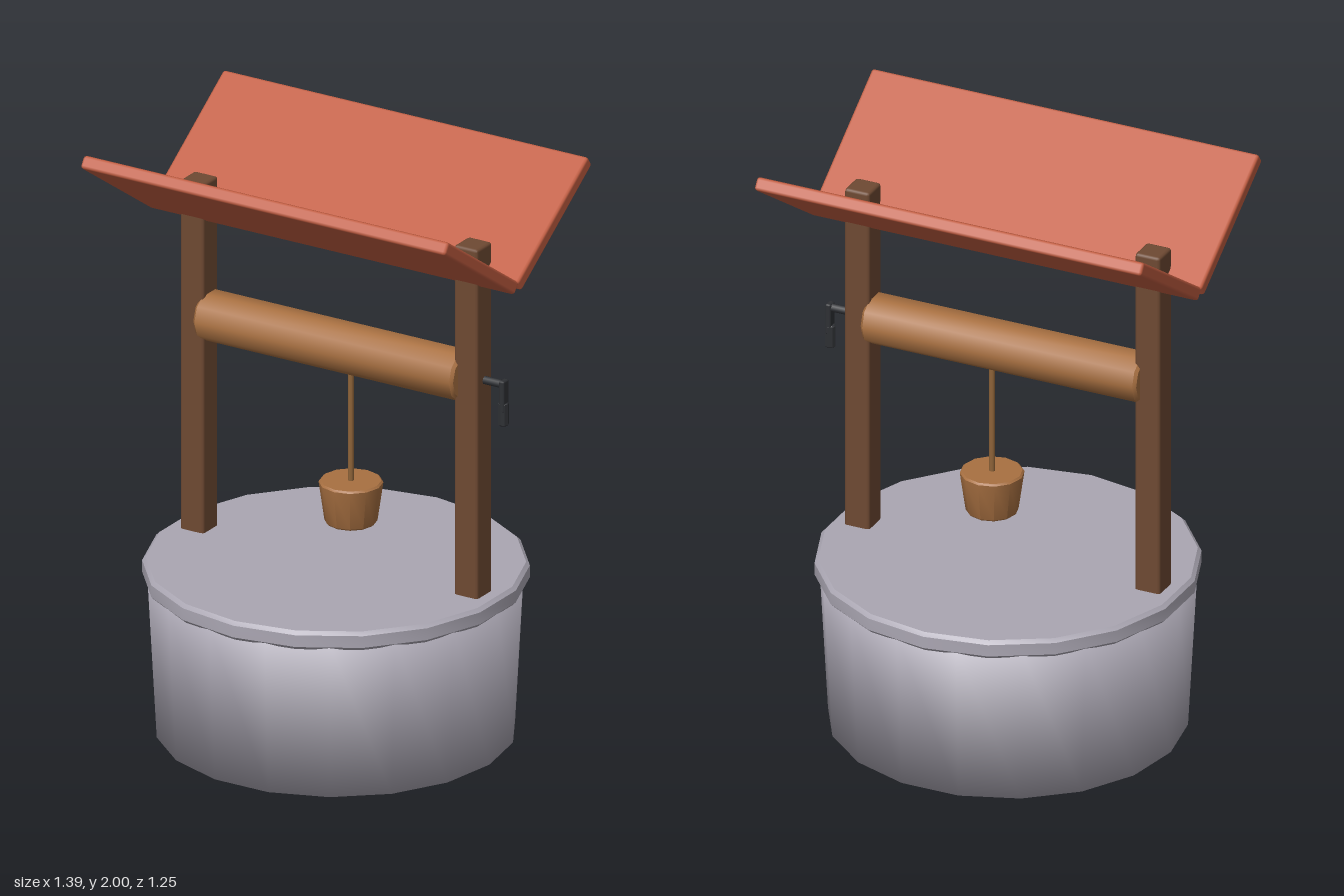
import * as THREE from 'three';
import { toCreasedNormals } from 'three/addons/utils/BufferGeometryUtils.js';
import { RoundedBoxGeometry } from 'three/addons/geometries/RoundedBoxGeometry.js';

const paint = (name, color) => {
  const m = new THREE.MeshStandardMaterial({ color });
  m.name = name;
  return m;
};

export function createModel() {
  const stone = paint('stone', 0xaaa6b2);
  const roofRed = paint('roof red', 0xc05c40);
  const darkWood = paint('dark wood', 0x6e4932);
  const lightWood = paint('light wood', 0xa87041);
  const ropeTan = paint('rope tan', 0x8f6439);
  const metal = paint('dark metal', 0x2e3034);

  const well = new THREE.Group();
  well.name = 'well';

  const add = (name, geometry, material, x = 0, y = 0, z = 0, parent = well) => {
    const mesh = new THREE.Mesh(geometry, material);
    mesh.name = name;
    mesh.position.set(x, y, z);
    parent.add(mesh);
    return mesh;
  };
  const box = (w, h, d, r) => new RoundedBoxGeometry(w, h, d, 1, r);
  const lathe = (points, sides) =>
    new THREE.LatheGeometry(points.map(([x, y]) => new THREE.Vector2(x, y)), sides);
  // Solid turned part with small chamfers, smooth around and crisp at the rims
  const turned = (r0, r1, h, sides, b) => toCreasedNormals(lathe([
    [0, 0], [r0 - b, 0], [r0, b], [r1, h - b], [r1 - b, h], [0, h],
  ], sides), 0.7);

  // Stone base, softly shaded over its edges, and its cap
  const base = lathe([[0, 0], [0.585, 0], [0.615, 0.55], [0, 0.55]], 18);
  base.rotateY(Math.PI / 2);
  add('stoneBase', base, stone);
  add('stoneRim', turned(0.627, 0.627, 0.065, 18, 0.012), stone, 0, 0.525);

  // Posts and the two roof boards rising outward in a V
  for (const s of [1, -1]) {
    add(s > 0 ? 'leftPost' : 'rightPost', box(0.09, 1.26, 0.092, 0.01), darkWood,
      s * 0.522, 1.18, 0);
    const board = add(s > 0 ? 'frontRoofBoard' : 'backRoofBoard',
      box(1.392, 0.045, 0.52, 0.01), roofRed, 0, 1.838, s * 0.223);
    board.rotation.x = -s * 0.595;
  }

  // Winding drum between the posts
  const drum = turned(0.085, 0.085, 0.99, 10, 0.01);
  drum.rotateZ(-Math.PI / 2);
  add('windingDrum', drum, lightWood, -0.497, 1.34, 0);

  // Crank on the left post
  const crank = new THREE.Group();
  crank.name = 'crank';
  well.add(crank);
  const axle = new THREE.CylinderGeometry(0.014, 0.014, 0.11, 8);
  axle.rotateZ(Math.PI / 2);
  add('crankAxle', axle, metal, 0.59, 1.342, 0, crank);
  add('crankArm', box(0.02, 0.11, 0.034, 0.006), metal, 0.64, 1.303, 0, crank);
  add('crankGrip', turned(0.018, 0.018, 0.08, 8, 0.004), metal, 0.638, 1.2, 0, crank);

  // Rope and bucket
  add('rope', new THREE.CylinderGeometry(0.01, 0.01, 0.48, 8), ropeTan, 0.057, 1.1, 0);
  add('bucket', turned(0.086, 0.105, 0.145, 12, 0.006), lightWood, 0.057, 0.735, 0);

  return well;
}
